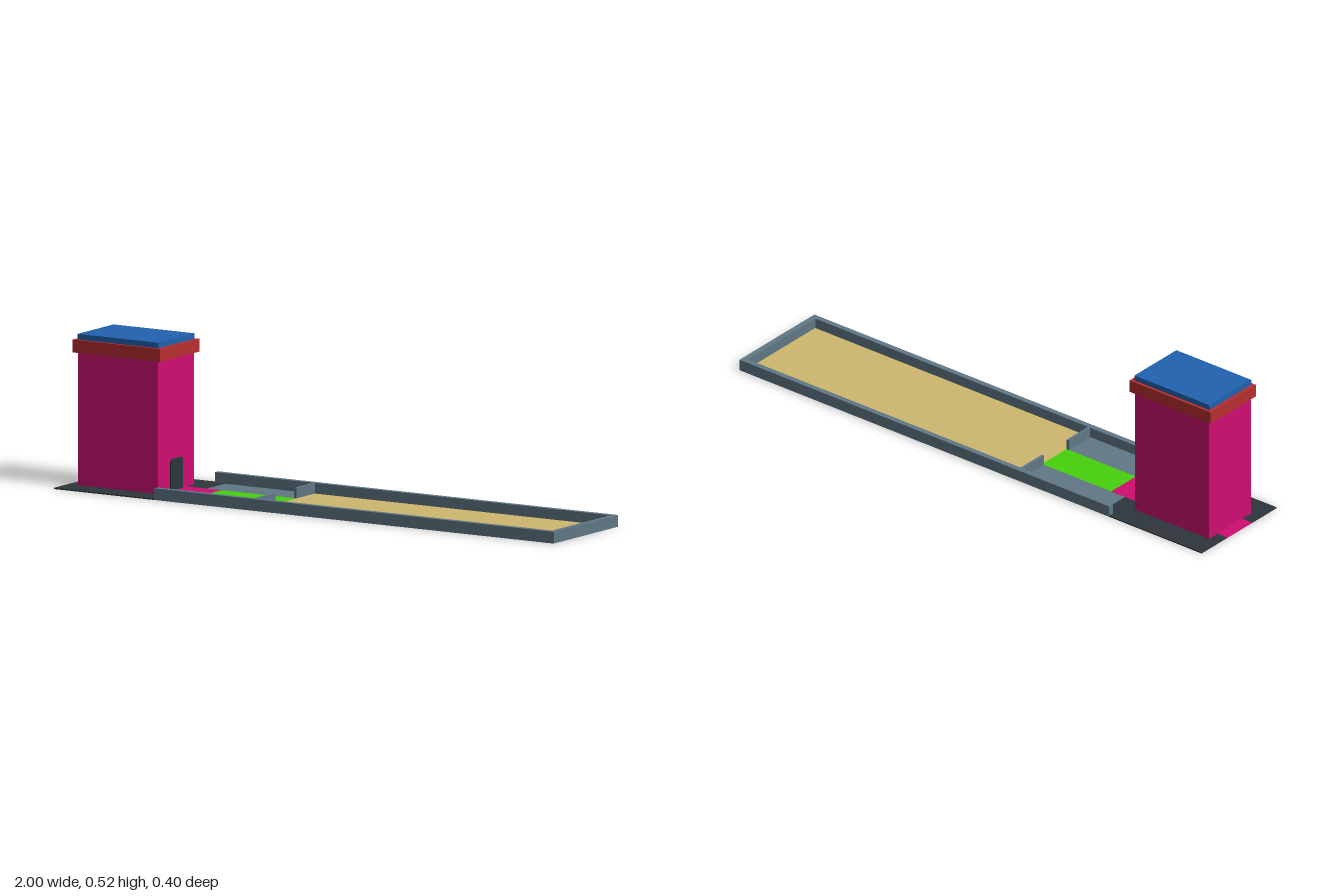
import * as THREE from 'three';

const mat = (name, color, side = THREE.FrontSide) =>
  new THREE.MeshStandardMaterial({ name, color, side });

export function createModel() {
  const model = new THREE.Group();
  const slate = mat('slate', 0x607885);
  const charcoal = mat('charcoal', 0x2d363c);
  const magenta = mat('magenta', 0xcf0d72, THREE.DoubleSide);
  const red = mat('brick red', 0xb72e30);
  const blue = mat('roof blue', 0x2062b0);
  const green = mat('grass green', 0x46d00d);
  const sand = mat('sand', 0xcfb76f);

  const add = (name, geometry, material) => {
    const mesh = new THREE.Mesh(geometry, material);
    mesh.name = name;
    model.add(mesh);
    return mesh;
  };
  // Box given by its limits on each axis
  const block = (name, [x0, x1], [y0, y1], [z0, z1], material) => {
    const mesh = add(name, new THREE.BoxGeometry(x1 - x0, y1 - y0, z1 - z0), material);
    mesh.position.set((x0 + x1) / 2, (y0 + y1) / 2, (z0 + z1) / 2);
    return mesh;
  };
  const extrude = (points, depth) => new THREE.ExtrudeGeometry(
    new THREE.Shape(points.map(([a, b]) => new THREE.Vector2(a, b))),
    { depth, bevelEnabled: false });

  const wallH = 0.04, sheet = [0, 0.004], path = 0.066;

  // Tower, hollow and open at the bottom
  const tower = block('tower', [-0.96, -0.64], [0, 0.47], [-0.112, 0.112], magenta);
  const faces = Array.from(tower.geometry.index.array);
  faces.splice(18, 6);
  tower.geometry.setIndex(faces);
  tower.geometry.clearGroups();
  block('towerBand', [-0.975, -0.625], [0.457, 0.501], [-0.122, 0.122], red);
  block('towerRoof', [-0.962, -0.638], [0.501, 0.52], [-0.112, 0.112], blue);

  // Doorway with stepped top on the tower's +x face
  const door = add('doorway', extrude([
    [-0.037, 0], [0.037, 0], [0.037, 0.104], [0.03, 0.104],
    [0.03, 0.111], [-0.03, 0.111], [-0.03, 0.104], [-0.037, 0.104],
  ], 0.004), charcoal);
  door.rotation.y = Math.PI / 2;
  door.position.x = -0.64;

  // Path pieces behind and before the tower, then the lawn and sand bed
  block('backPath', [-1, -0.96], sheet, [-path, path], magenta);
  block('frontPath', [-0.64, -0.5], sheet, [-path, path], magenta);
  block('lawn', [-0.5, -0.2], sheet, [-path, path], green);
  block('sandBed', [-0.2, 0.98], sheet, [-0.18, 0.18], sand);

  for (const s of [1, -1]) {
    // Half of the ground plate, cut out around tower and path
    const plate = add('groundPlate', extrude([
      [-1, path], [-0.96, path], [-0.96, 0.112], [-0.64, 0.112], [-0.64, path],
      [-0.56, path], [-0.56, 0.18], [-0.6, 0.18], [-0.6, 0.2], [-1, 0.2],
    ].map(([x, z]) => [x, s * z]), 0.004), charcoal);
    plate.rotation.x = Math.PI / 2;
    plate.position.y = 0.004;

    // Floor, long wall and divider on each side
    const span = (a, b) => [Math.min(s * a, s * b), Math.max(s * a, s * b)];
    block('courtFloor', [-0.56, -0.2], sheet, span(path, 0.18), slate);
    block('sideWall', [-0.6, 1], [0, wallH], span(0.18, 0.2), slate);
    block('divider', [-0.21, -0.2], [0, wallH], span(path, 0.18), slate);
  }
  block('endWall', [0.98, 1], [0, wallH], [-0.18, 0.18], slate);

  return model;
}
